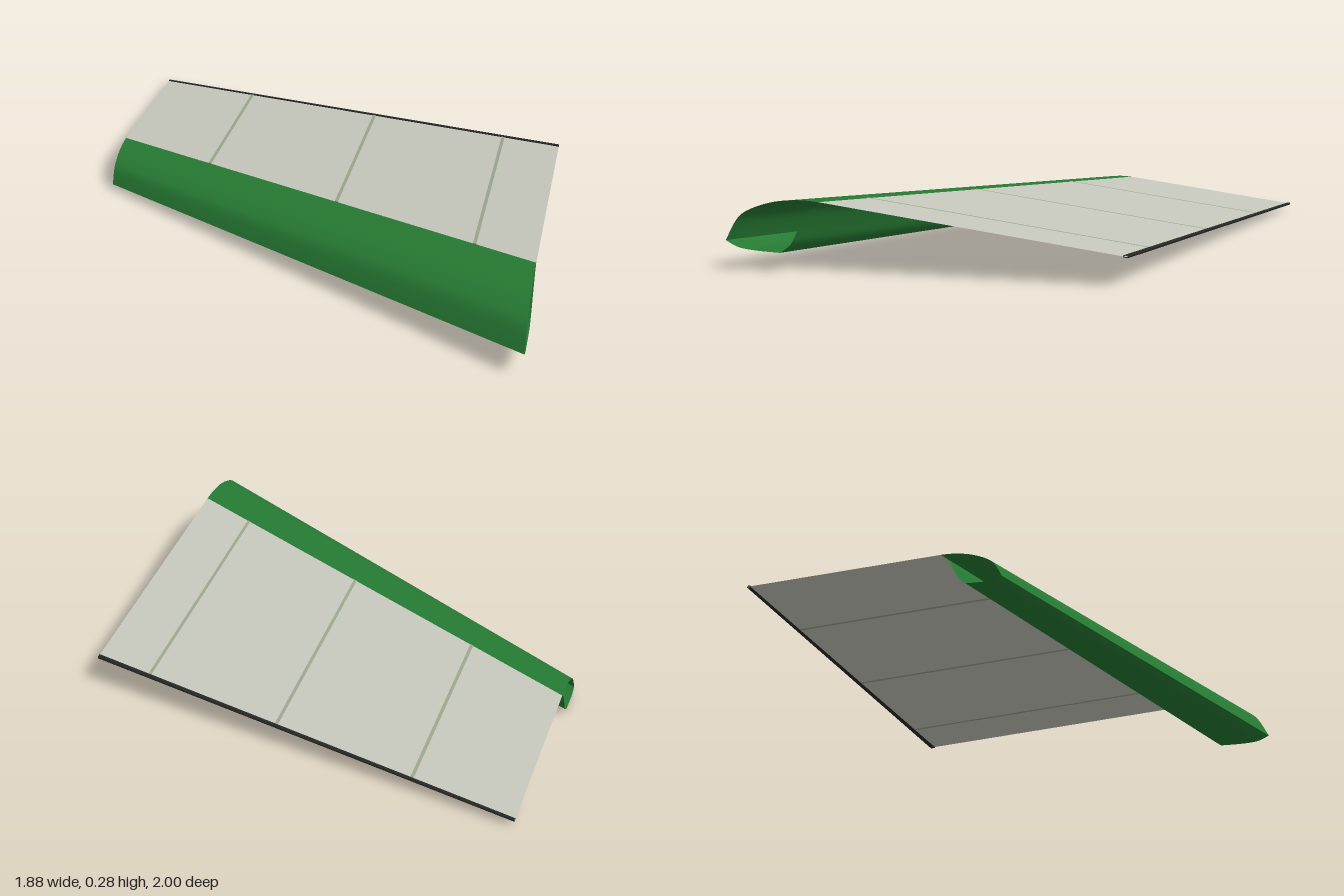
import * as THREE from 'three';

const HALF_SPAN = 0.94;

// Wing section at span position x: d is the chord fraction, h the height in chords
function wingPoint(x, d, h, lift = 0) {
  const t = (x + HALF_SPAN) / (2 * HALF_SPAN);
  const chord = THREE.MathUtils.lerp(0.97, 1.57, t);
  const noseZ = THREE.MathUtils.lerp(-0.03, 1.0, t);
  const noseY = THREE.MathUtils.lerp(0.026, 0.115, t);
  return [x, noseY + h * chord + lift, noseZ - d * chord];
}

// Sheet swept along the span through a profile of [d, h, lift] points
function loft(profile, x0, x1, steps = 1) {
  const positions = [], index = [], row = steps + 1;
  for (const [d, h, lift] of profile) {
    for (let j = 0; j <= steps; j++) {
      positions.push(...wingPoint(THREE.MathUtils.lerp(x0, x1, j / steps), d, h, lift));
    }
  }
  for (let i = 0; i < profile.length - 1; i++) {
    for (let j = 0; j < steps; j++) {
      const a = i * row + j, b = a + 1, c = a + row, e = c + 1;
      index.push(a, b, c, b, e, c);
    }
  }
  const geometry = new THREE.BufferGeometry();
  geometry.setAttribute('position', new THREE.Float32BufferAttribute(positions, 3));
  geometry.setIndex(index);
  geometry.computeVertexNormals();
  return geometry;
}

// Smooth profile through a few points
function smooth(points, n) {
  const curve = new THREE.SplineCurve(points.map(p => new THREE.Vector2(...p)));
  return curve.getPoints(n).map(p => [p.x, p.y]);
}

export function createModel() {
  const model = new THREE.Group();
  model.name = 'wingPanel';
  const paint = (name, color) =>
    new THREE.MeshStandardMaterial({ name, color, side: THREE.DoubleSide });
  const green = paint('leadingEdgeGreen', 0x267a33);
  const fabric = paint('fabricGrey', 0xc6c8bc);
  const seam = paint('ribGreen', 0x9ba78c);
  const dark = paint('trailingEdgeDark', 0x262826);

  const add = (name, geometry, material, parent = model) => {
    const mesh = new THREE.Mesh(geometry, material);
    mesh.name = name;
    parent.add(mesh);
  };

  // Hollow leading edge, open at both ends
  const nose = new THREE.Group();
  nose.name = 'leadingEdge';
  model.add(nose);
  const rear = [0.24, 0.103], keel = [0.14, -0.026];
  add('noseTop', loft(smooth(
    [[0, 0], [0.03, 0.054], [0.065, 0.08], [0.127, 0.1], [0.19, 0.106], rear], 20),
    -HALF_SPAN, HALF_SPAN, 8), green, nose);
  add('noseBack', loft(smooth(
    [rear, [0.213, 0.08], [0.188, 0.035], [0.168, -0.004], keel], 12),
    -HALF_SPAN, HALF_SPAN, 8), green, nose);
  add('noseBottom', loft(smooth([keel, [0.08, -0.023], [0.032, -0.016], [0, 0]], 10),
    -HALF_SPAN, HALF_SPAN, 8), green, nose);

  // Fabric stretched from the leading edge to the trailing edge
  add('fabricSkin', loft([rear, [1, 0]], -HALF_SPAN, HALF_SPAN, 8), fabric);

  // Thin ribs visible above and below the fabric
  const ribs = new THREE.Group();
  ribs.name = 'ribs';
  model.add(ribs);
  for (const x of [-0.51, 0.09, 0.69]) {
    const e = 0.0025;
    add('rib', loft([[...rear, e], [0.99, 0.0014, e], [0.99, 0.0014, -e], [...rear, -e], [...rear, e]],
      x - 0.007, x + 0.007), seam, ribs);
  }

  // Trailing edge strip, wrapped around the hem
  const t = 0.004, hem = 0.0014;
  add('trailingEdge', loft([[0.989, hem, t], [1, 0, t], [1, 0, -t], [0.989, hem, -t], [0.989, hem, t]],
    -HALF_SPAN, HALF_SPAN), dark);

  return model;
}
